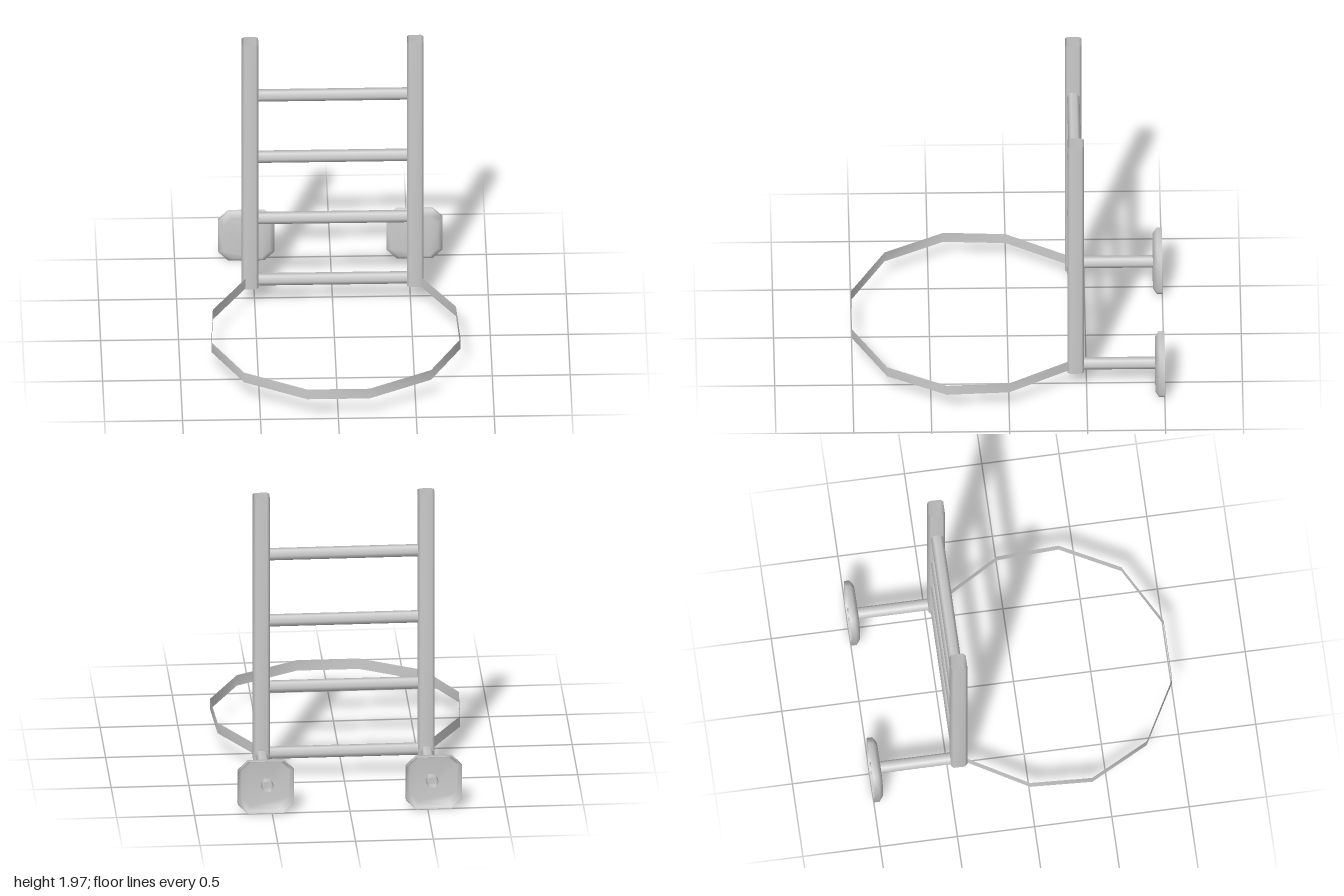
import * as THREE from 'three';

const material = new THREE.MeshStandardMaterial({ color: 0xcccccc, side: THREE.DoubleSide });

// Corners of a square of half-width h with each corner cut by c
function cutSquare(h, c) {
  const k = h - c;
  return [[h, -k], [h, k], [k, h], [-k, h], [-h, k], [-h, -k], [-k, -h], [k, -h]];
}

// Skin between rows of [x, y, z] points; optionally closed around and capped on the first row
function skin(rows, { closed = true, cap = false } = {}) {
  const n = rows[0].length;
  const positions = rows.flat(2);
  const index = [];
  for (let r = 0; r < rows.length - 1; r++) {
    for (let i = 0; i < (closed ? n : n - 1); i++) {
      const j = (i + 1) % n;
      const a = r * n + i, b = r * n + j, c = a + n, d = b + n;
      index.push(a, b, d, a, d, c);
    }
  }
  if (cap) for (let i = 1; i < n - 1; i++) index.push(0, i + 1, i);
  const geometry = new THREE.BufferGeometry();
  geometry.setAttribute('position', new THREE.Float32BufferAttribute(positions, 3));
  geometry.setIndex(index);
  geometry.computeVertexNormals();
  return geometry;
}

export function createModel() {
  const model = new THREE.Group();
  const add = (name, geometry, x = 0, y = 0, z = 0) => {
    const mesh = new THREE.Mesh(geometry, material);
    mesh.name = name;
    mesh.position.set(x, y, z);
    model.add(mesh);
    return mesh;
  };

  const postX = 0.53, postZ = -0.43, lowY = 0.183;

  // Hollow uprights with cut corners
  const section = cutSquare(0.053, 0.016);
  const post = skin([1.97, 0.14].map(y => section.map(([x, z]) => [x, y, z])));

  // Hexagonal open pegs that run back through the pads
  const peg = new THREE.CylinderGeometry(0.04, 0.04, 0.53, 6, 1, true);
  peg.rotateY(Math.PI / 2).rotateX(Math.PI / 2);

  // Dished wall pads: flat front, bevelled rim, open back
  const padRows = [[0.15, 0.055, 0.06], [0.18, 0.065, 0.035], [0.18, 0.065, 0]];
  const pad = skin(
    padRows.map(([h, c, z]) => cutSquare(h, c).map(([x, y]) => [x, y, z]).reverse()),
    { cap: true });

  for (const [side, s] of [['left', 1], ['right', -1]]) {
    add(side + 'Post', post, s * postX, 0, postZ);
    add(side + 'Peg', peg, s * postX, lowY, -0.735);
    add(side + 'Pad', pad, s * (postX + 0.01), 0.18, -1);
  }

  // Hexagonal rungs
  const rung = new THREE.CylinderGeometry(0.04, 0.04, 2 * postX, 6, 1, true);
  rung.rotateZ(Math.PI / 2);
  for (let i = 0; i < 4; i++) add('rung' + (i + 1), rung, 0, lowY + i * 0.46, postZ);

  // Thin hoop band running from one upright round to the other
  const half = [[0.53, -0.43], [0.78, 0], [0.8, 0.4], [0.6, 0.78], [0.2, 1]];
  const path = [...half, ...half.map(([x, z]) => [-x, z]).reverse()];
  add('hoop', skin([0.22, 0.147].map(y => path.map(([x, z]) => [x, y, z]).reverse()), { closed: false }));

  // Orient the hoop and post skins outward
  for (const geometry of [post, model.getObjectByName('hoop').geometry]) {
    const p = geometry.attributes.position, n = geometry.attributes.normal;
    const cz = geometry === post ? 0 : 0.2;
    if (p.getX(1) * n.getX(1) + (p.getZ(1) - cz) * n.getZ(1) < 0) {
      geometry.index.array.reverse();
      geometry.computeVertexNormals();
    }
  }
  // Same for the pads, whose front must face +z
  if (pad.attributes.normal.getZ(0) < 0) {
    pad.index.array.reverse();
    pad.computeVertexNormals();
  }
  return model;
}
